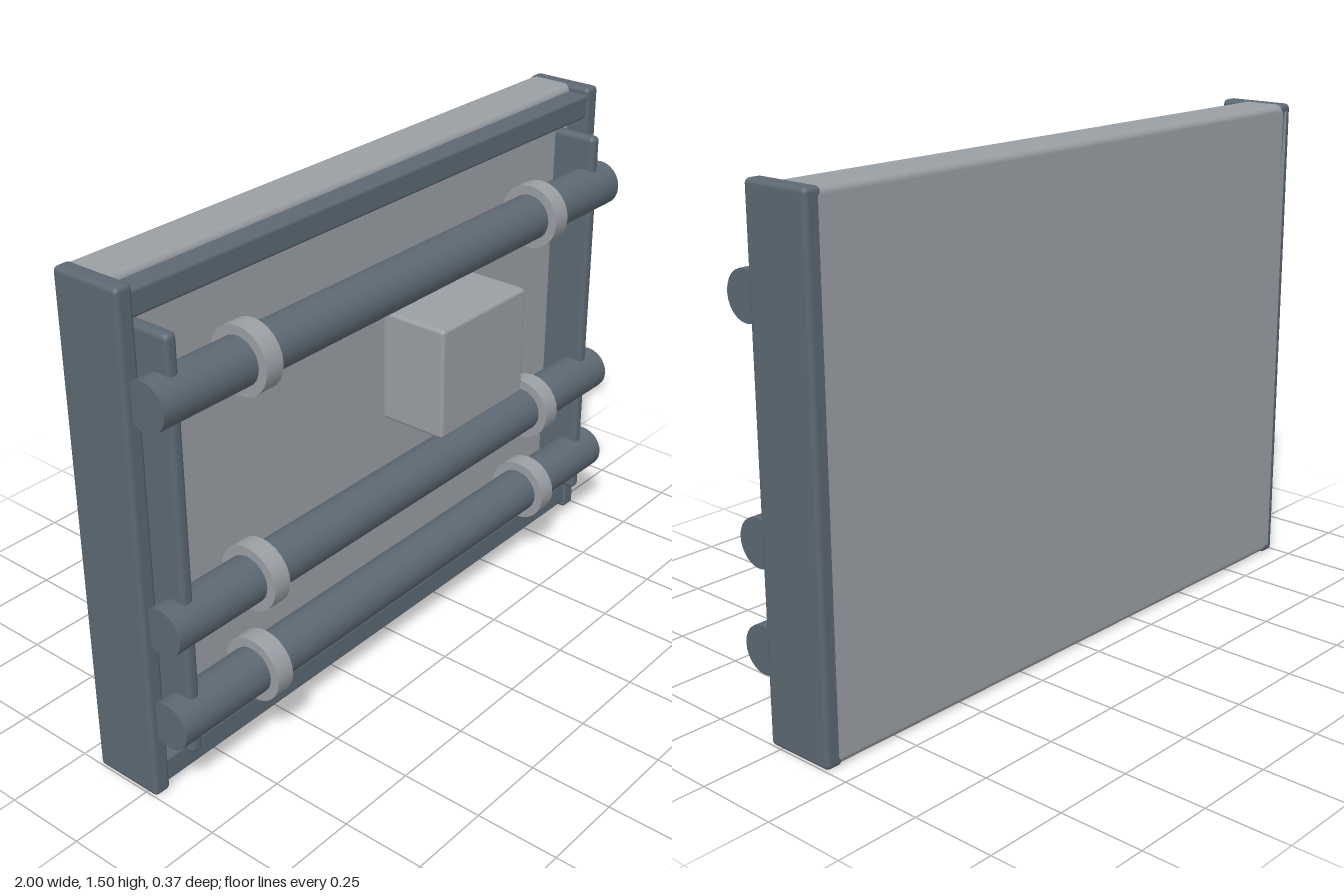
import * as THREE from 'three';
import { RoundedBoxGeometry } from 'three/addons/geometries/RoundedBoxGeometry.js';

export function createModel() {
  const model = new THREE.Group();
  const light = new THREE.MeshStandardMaterial({ color: 0x9a9fa4 });
  const dark = new THREE.MeshStandardMaterial({ color: 0x5c6873 });

  // Rounded box given by its limits on each axis
  function block(name, [x0, x1], [y0, y1], [z0, z1], radius, material) {
    const geometry = new RoundedBoxGeometry(x1 - x0, y1 - y0, z1 - z0, 2, radius);
    const mesh = new THREE.Mesh(geometry, material);
    mesh.position.set((x0 + x1) / 2, (y0 + y1) / 2, (z0 + z1) / 2);
    mesh.name = name;
    model.add(mesh);
  }

  // Cylinder lying along x
  function bar(name, radius, length, x, y, z, material) {
    const geometry = new THREE.CylinderGeometry(radius, radius, length, 24);
    geometry.rotateZ(Math.PI / 2);
    const mesh = new THREE.Mesh(geometry, material);
    mesh.position.set(x, y, z);
    mesh.name = name;
    model.add(mesh);
  }

  // Back panel, a hair inside the side rails
  block('panel', [-0.999, 0.999], [0.001, 1.499], [-0.182, -0.03], 0.022, light);

  // Frame around the front
  block('topRail', [-0.97, 0.97], [1.405, 1.48], [-0.08, 0.033], 0.01, dark);
  block('bottomRail', [-0.97, 0.97], [0.02, 0.097], [-0.08, 0.033], 0.01, dark);
  for (const [side, s] of [['left', 1], ['right', -1]]) {
    const span = (a, b) => (s > 0 ? [a, b] : [-b, -a]);
    block(side + 'SideRail', span(0.945, 1), [0, 1.5], [-0.182, 0.04], 0.014, dark);
    // Upright strip that carries the tubes
    block(side + 'MountingStrip', span(0.88, 0.92), [0.13, 1.375], [-0.045, 0.11], 0.016, dark);
  }

  // Control box on the front face
  block('controlBox', [0.05, 0.445], [0.705, 1.05], [-0.045, 0.183], 0.012, light);

  // Three cross tubes, each held by two clamp rings
  for (const y of [0.25, 0.55, 1.2]) {
    bar('crossTube', 0.07, 1.954, 0, y, 0.08, dark);
    for (const x of [-0.625, 0.625]) bar('clampRing', 0.098, 0.06, x, y, 0.08, light);
  }
  return model;
}
